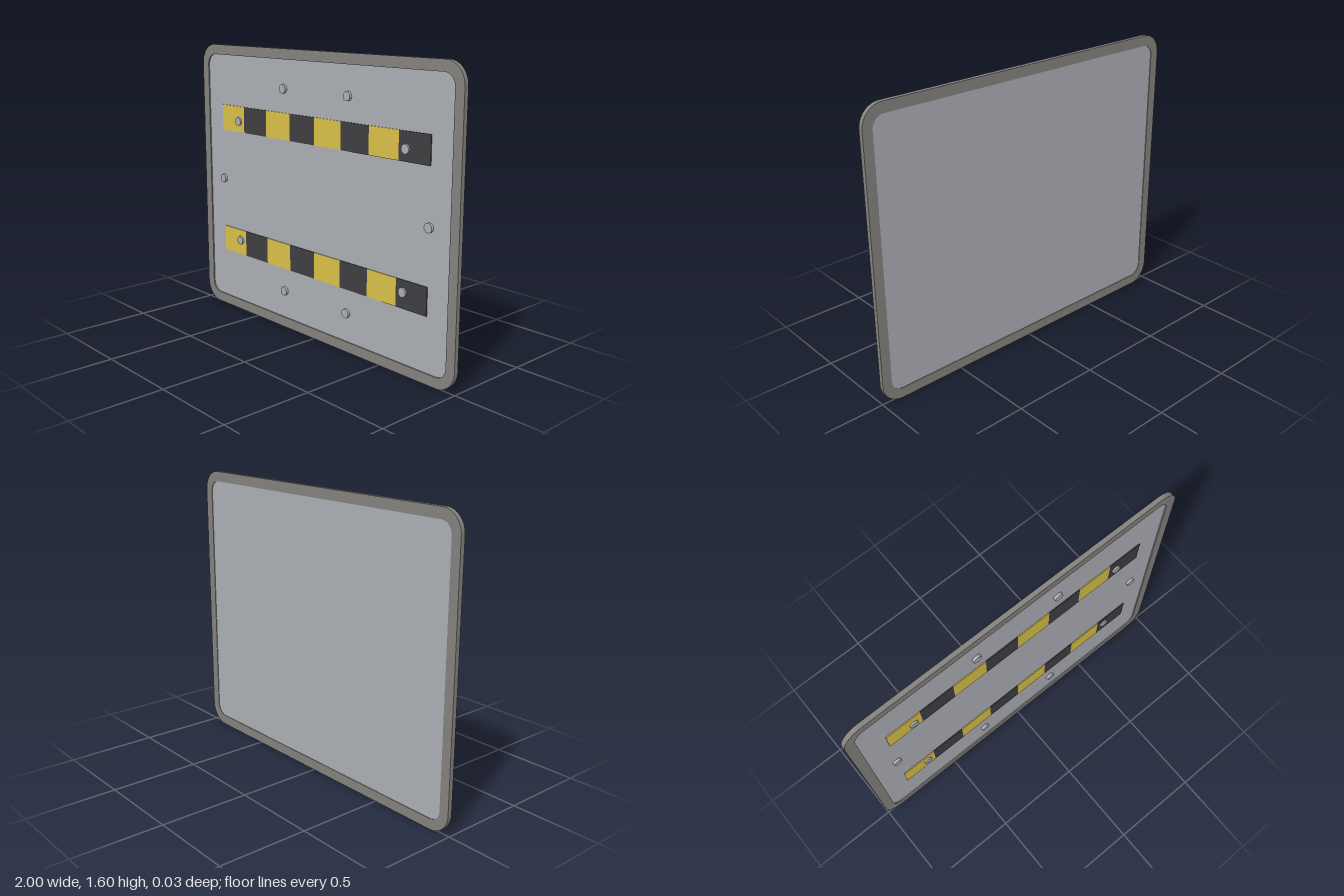
import * as THREE from 'three';

const H = 1.595, CY = H / 2;
const mat = (color) => new THREE.MeshStandardMaterial({ color });

// Rounded rectangle centred on the origin, usable as an outline or a hole
function roundedRect(target, w, h, r) {
  const x = w / 2, y = h / 2;
  target.moveTo(-x + r, -y);
  target.lineTo(x - r, -y);
  target.absarc(x - r, -y + r, r, -Math.PI / 2, 0);
  target.lineTo(x, y - r);
  target.absarc(x - r, y - r, r, 0, Math.PI / 2);
  target.lineTo(-x + r, y);
  target.absarc(-x + r, y - r, r, Math.PI / 2, Math.PI);
  target.lineTo(-x, -y + r);
  target.absarc(-x + r, -y + r, r, Math.PI, Math.PI * 1.5);
  return target;
}

// Extrudes a shape between two depths
function slab(shape, back, front) {
  const geo = new THREE.ExtrudeGeometry(shape, { depth: front - back, bevelEnabled: false, curveSegments: 10 });
  return geo.translate(0, CY, back);
}

export function createModel() {
  const group = new THREE.Group();
  const add = (name, geo, material) => {
    const mesh = new THREE.Mesh(geo, material);
    mesh.name = name;
    group.add(mesh);
    return mesh;
  };
  const frameMat = mat(0x84827e), panelMat = mat(0xabafb5);
  const yellow = mat(0xd9c04a), black = mat(0x3f3f43);

  // Rim around the plate
  const rim = roundedRect(new THREE.Shape(), 2, H, 0.115);
  rim.holes.push(roundedRect(new THREE.Path(), 1.89, 1.48, 0.065));
  add('frame', slab(rim, -0.0165, 0.009), frameMat);

  // Plate, slightly recessed on both sides
  const plate = roundedRect(new THREE.Shape(), 1.89, 1.48, 0.065);
  add('panel', slab(plate, -0.013, 0.002), panelMat);

  // Two bands of alternating warning stripes
  const step = 0.203;
  for (const y of [CY - 0.372, CY + 0.372]) {
    for (let i = 0; i < 8; i++) {
      const stripe = add('warningStripe', new THREE.BoxGeometry(step, 0.15, 0.006), i % 2 ? black : yellow);
      stripe.position.set((i - 3.5) * step, y, 0.004);
    }
  }

  // Bolts, mirrored left to right and top to bottom
  const boltGeo = new THREE.CylinderGeometry(0.025, 0.025, 0.0155, 24).rotateX(Math.PI / 2);
  for (const [x, dy] of [[0.253, 0.58], [0.657, 0.36], [0.814, 0]]) {
    for (const sx of [-1, 1]) {
      for (const sy of dy ? [-1, 1] : [1]) {
        add('bolt', boltGeo, panelMat).position.set(sx * x, CY + sy * dy, 0.00875);
      }
    }
  }
  return group;
}
